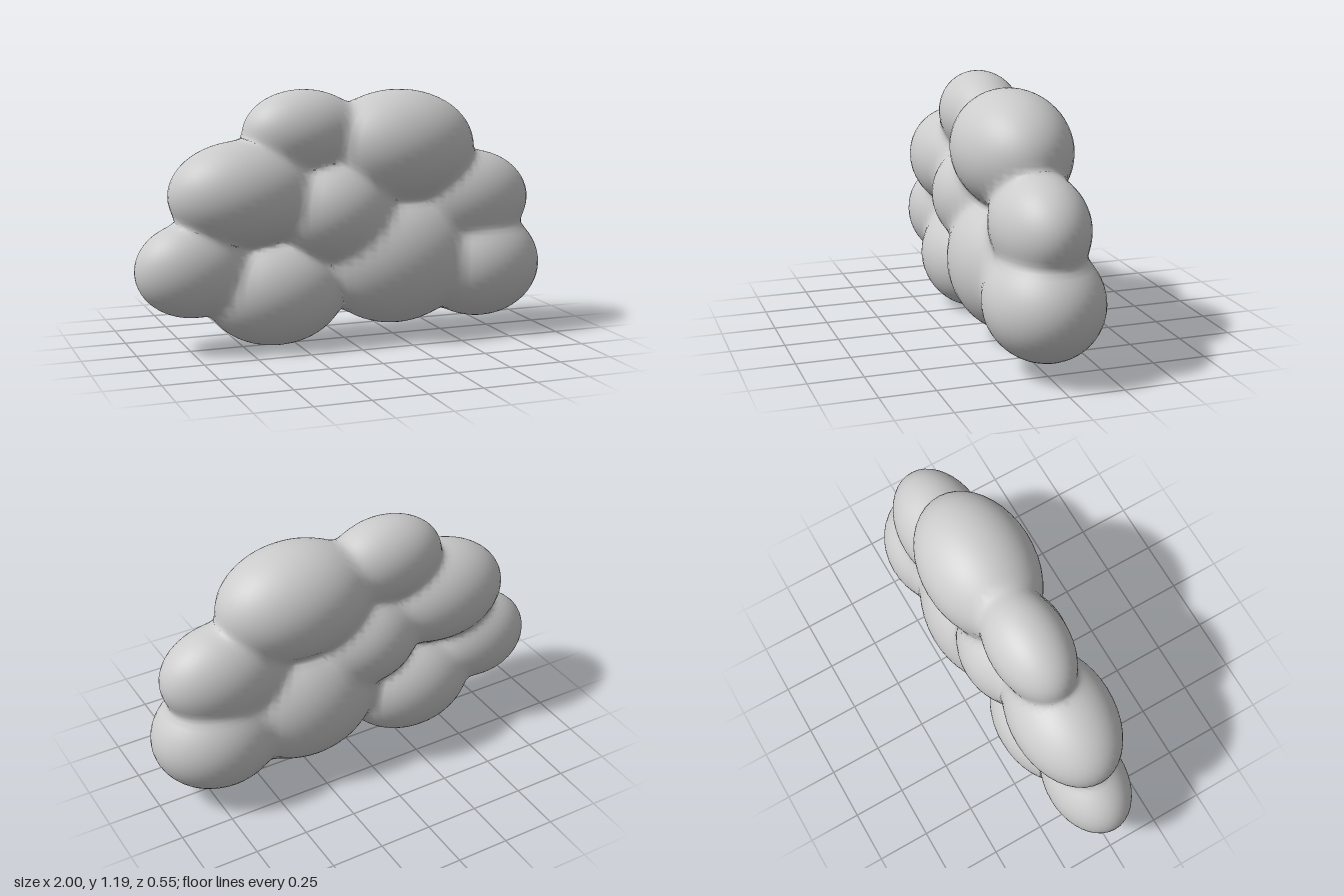
import * as THREE from 'three';

// Puffs of the cloud: name, centre, radii
const puffs = [
  ['topLeftPuff', [-0.20, 0.985, -0.01], [0.285, 0.20, 0.185]],
  ['topRightPuff', [0.27, 0.905, 0], [0.375, 0.27, 0.265]],
  ['upperLeftPuff', [-0.49, 0.715, 0], [0.35, 0.245, 0.24]],
  ['upperRightPuff', [0.63, 0.64, 0], [0.31, 0.235, 0.21]],
  ['centrePuff', [-0.06, 0.62, 0], [0.30, 0.25, 0.26]],
  ['farLeftPuff', [-0.73, 0.38, 0], [0.27, 0.22, 0.19]],
  ['lowerLeftPuff', [-0.34, 0.245, 0], [0.33, 0.245, 0.23]],
  ['lowerMiddlePuff', [0.25, 0.375, 0], [0.38, 0.315, 0.275]],
  ['lowerRightPuff', [0.69, 0.32, 0], [0.31, 0.26, 0.265]],
].map(([name, c, r]) => ({ name, c: new THREE.Vector3(...c), r: new THREE.Vector3(...r) }));

const BLEND = 0.018;
const q = new THREE.Vector3(), g = new THREE.Vector3();

// Approximate signed distance to one ellipsoid
function distance(p, { c, r }) {
  q.copy(p).sub(c).divide(r);
  const k0 = q.length();
  const k1 = q.divide(r).length();
  return k1 < 1e-6 ? -Math.min(r.x, r.y, r.z) : k0 * (k0 - 1) / k1;
}

// Soft union of all puffs
function field(p) {
  let sum = 0;
  for (const puff of puffs) sum += Math.exp(-distance(p, puff) / BLEND);
  return -BLEND * Math.log(sum + 1e-30);
}

function gradient(p) {
  const e = 0.002, s = p.clone();
  for (const a of ['x', 'y', 'z']) {
    s[a] = p[a] + e;
    const hi = field(s);
    s[a] = p[a] - e;
    g[a] = (hi - field(s)) / (2 * e);
    s[a] = p[a];
  }
  return g;
}

// Ellipsoid whose visible vertices settle on the soft union, giving filleted creases
function puffGeometry({ c, r }) {
  const geo = new THREE.SphereGeometry(1, 40, 28);
  geo.scale(r.x, r.y, r.z).translate(c.x, c.y, c.z);
  const pos = geo.attributes.position, nor = geo.attributes.normal;
  const p = new THREE.Vector3();
  for (let i = 0; i < pos.count; i++) {
    p.fromBufferAttribute(pos, i);
    if (field(p) > -0.04) {
      for (let n = 0; n < 4; n++) {
        const f = field(p);
        gradient(p);
        p.addScaledVector(g, -f / Math.max(g.lengthSq(), 0.3));
      }
    }
    pos.setXYZ(i, p.x, p.y, p.z);
    gradient(p).normalize();
    nor.setXYZ(i, g.x, g.y, g.z);
  }
  return geo;
}

export function createModel() {
  const cloud = new THREE.Group();
  cloud.name = 'cloud';
  const material = new THREE.MeshStandardMaterial({ color: 0xcccccc });
  for (const puff of puffs) {
    const mesh = new THREE.Mesh(puffGeometry(puff), material);
    mesh.name = puff.name;
    cloud.add(mesh);
  }
  return cloud;
}
